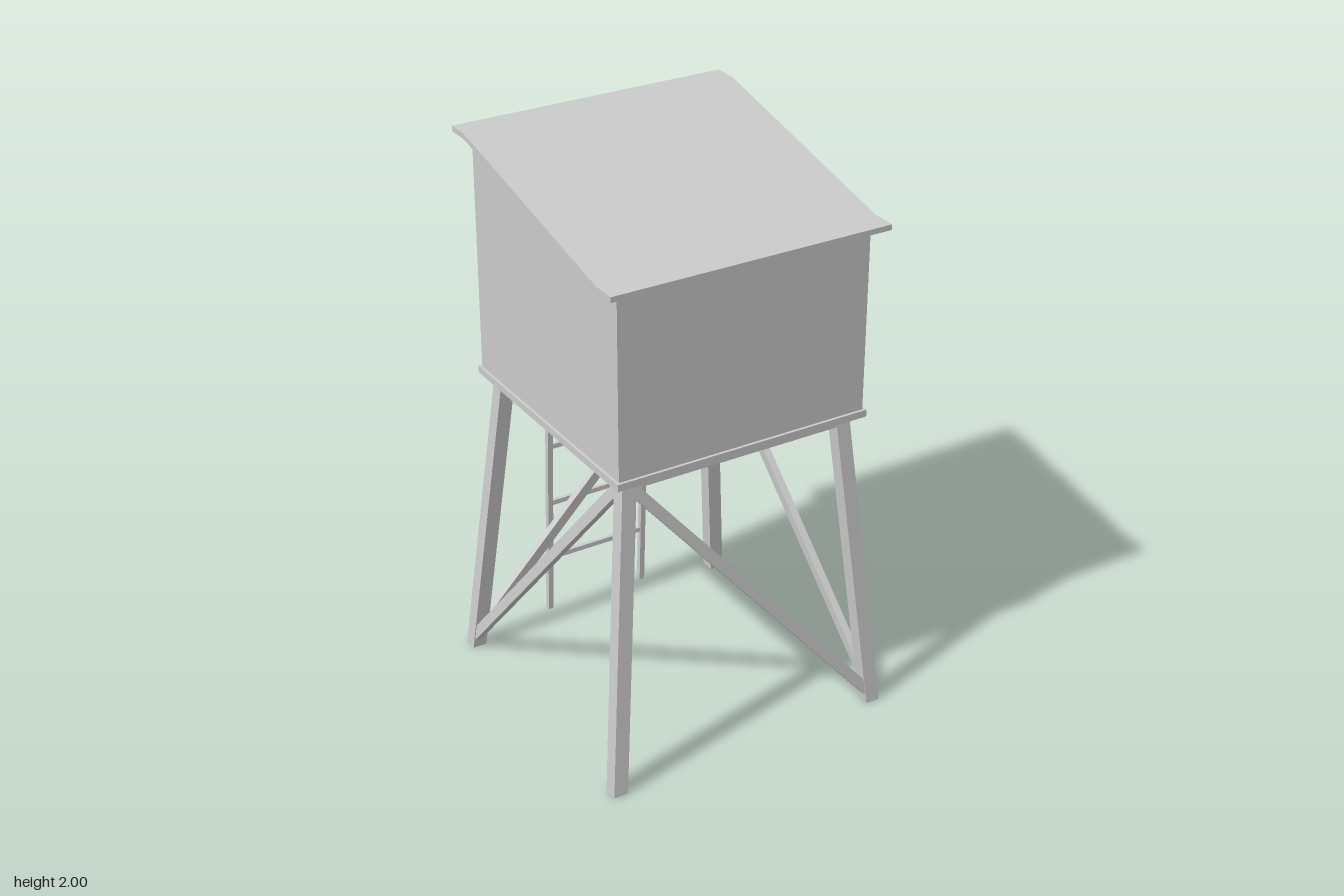
import * as THREE from 'three';

export function createModel() {
  const model = new THREE.Group();
  const mat = new THREE.MeshStandardMaterial({ color: 0xcccccc, flatShading: true });

  function add(name, geo, parent = model) {
    const mesh = new THREE.Mesh(geo, mat);
    mesh.name = name;
    parent.add(mesh);
    return mesh;
  }
  function group(name) {
    const g = new THREE.Group();
    g.name = name;
    model.add(g);
    return g;
  }
  // axis-aligned box from its limits
  function box(name, x0, x1, y0, y1, z0, z1, parent) {
    const geo = new THREE.BoxGeometry(x1 - x0, y1 - y0, z1 - z0);
    geo.translate((x0 + x1) / 2, (y0 + y1) / 2, (z0 + z1) / 2);
    return add(name, geo, parent);
  }
  // bar between two points, with level-cut ends (sheared box)
  function leaningPost(name, a, b, w, d, parent) {
    const geo = new THREE.BoxGeometry(w, 1, d);
    const p = geo.attributes.position;
    for (let i = 0; i < p.count; i++) {
      const t = p.getY(i) + 0.5;
      p.setXYZ(i, p.getX(i) + a.x + (b.x - a.x) * t, a.y + (b.y - a.y) * t, p.getZ(i) + a.z + (b.z - a.z) * t);
    }
    geo.computeVertexNormals();
    return add(name, geo, parent);
  }
  // side outline (z, y) extruded across x
  function sidePrism(name, outline, x0, x1, parent) {
    const shape = new THREE.Shape(outline.map(([z, y]) => new THREE.Vector2(-z, y)));
    const geo = new THREE.ExtrudeGeometry(shape, { depth: x1 - x0, bevelEnabled: false });
    geo.rotateY(Math.PI / 2).translate(x0, 0, 0);
    return add(name, geo, parent);
  }
  const V = (x, y, z) => new THREE.Vector3(x, y, z);

  // splayed legs
  const legs = group('legs');
  for (const sx of [-1, 1]) for (const sz of [-1, 1])
    leaningPost('leg', V(sx * 0.509, 0, sz * 0.509), V(sx * 0.404, 1.115, sz * 0.404), 0.052, 0.052, legs);

  // one diagonal brace per side, lying in the leaning plane of the legs
  const braces = group('braces');
  const normal = V(0, 0.105, 1.115).normalize();
  const zAt = (y) => 0.532 - 0.105 * y / 1.115;
  for (const [turn, s] of [[0, 1], [1, -1], [2, 1], [3, -1]]) {
    const a = V(s * 0.49, 0.05, zAt(0.05)), b = V(-s * 0.395, 1.085, zAt(1.085));
    const along = b.clone().sub(a);
    const geo = new THREE.BoxGeometry(0.038, along.length(), 0.026).translate(0, 0, -0.013);
    const dir = along.normalize();
    geo.applyMatrix4(new THREE.Matrix4().makeBasis(dir.clone().cross(normal), dir, normal));
    const mid = a.add(b).multiplyScalar(0.5);
    geo.translate(mid.x, mid.y, mid.z).rotateY(turn * Math.PI / 2);
    add('brace', geo, braces);
  }

  // deck and the beams under its rim
  box('deck', -0.47, 0.47, 1.115, 1.14, -0.47, 0.47);
  const beams = group('deckBeams');
  for (const s of [-1, 1]) {
    const c = s * 0.409;
    box('crossBeam', -0.429, 0.429, 1.08, 1.115, c - 0.02, c + 0.02, beams);
    box('sideBeam', c - 0.02, c + 0.02, 1.08, 1.115, -0.389, 0.389, beams);
  }

  // cabin, open at the back between two narrow panels
  const cabin = group('cabin');
  const W = 0.46, T = 0.015;
  const side = [[W, 1.14], [W, 1.79], [0.41, 1.79], [-0.42, 1.985], [-W, 1.985], [-W, 1.14]];
  sidePrism('sideWall', side, W - T, W, cabin);
  sidePrism('sideWall', side, -W, -W + T, cabin);
  box('frontWall', -W + T, W - T, 1.14, 1.79, W - T, W, cabin);
  box('backPanel', -W + T, -0.36, 1.14, 1.985, -W, -W + T, cabin);
  box('backPanel', 0.36, W - T, 1.14, 1.985, -W, -W + T, cabin);

  // sloping roof with level eaves
  sidePrism('roof', [
    [0.507, 1.785], [0.507, 1.804], [0.42, 1.804], [-0.42, 2],
    [-0.507, 2], [-0.507, 1.981], [-0.42, 1.981], [0.42, 1.785],
  ], -0.507, 0.507);

  // ladder leaning against the open side
  const ladder = group('ladder');
  const railZ = (y) => -0.526 + 0.048 * (y - 0.035) / 1.105;
  for (const s of [-1, 1])
    leaningPost('ladderRail', V(s * 0.195, 0.035, railZ(0.035)), V(s * 0.195, 1.14, railZ(1.14)), 0.02, 0.02, ladder);
  for (const y of [0.26, 0.495, 0.732, 0.966])
    box('ladderRung', -0.187, 0.187, y - 0.009, y + 0.009, railZ(y) - 0.007, railZ(y) + 0.007, ladder);

  return model;
}
